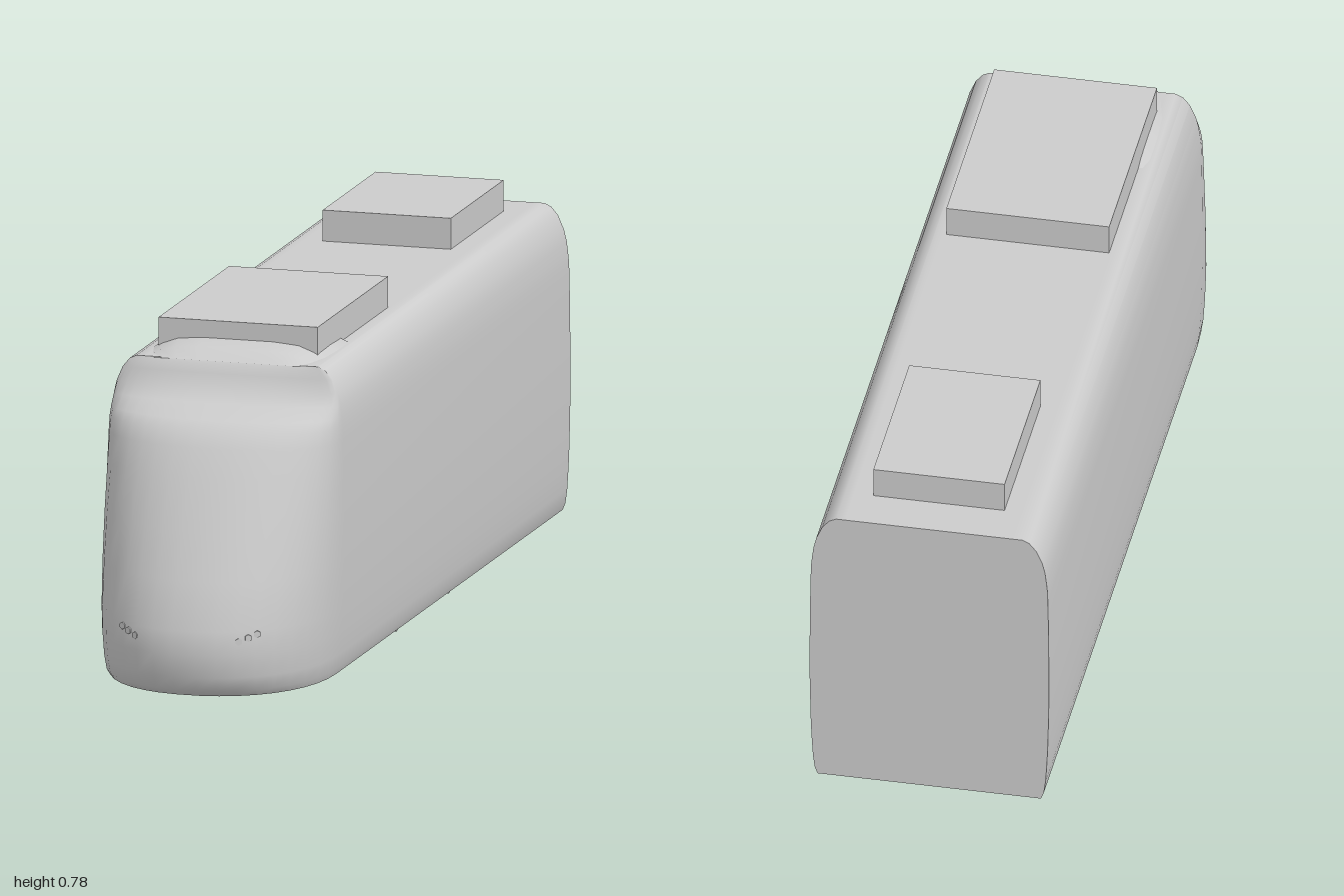
import * as THREE from 'three';
import { toCreasedNormals } from 'three/addons/utils/BufferGeometryUtils.js';

const grey = new THREE.MeshStandardMaterial({ color: 0xcccccc });
grey.name = 'light grey';

// Collects quads and turns them into a geometry that is smooth up to the crease angle
function surface(build, crease) {
  const pos = [];
  build((a, b, c, d) => pos.push(...a, ...b, ...c, ...a, ...c, ...d));
  const g = new THREE.BufferGeometry();
  g.setAttribute('position', new THREE.Float32BufferAttribute(pos, 3));
  return toCreasedNormals(g, crease);
}

function mesh(name, geometry) {
  const m = new THREE.Mesh(geometry, grey);
  m.name = name;
  return m;
}

const BACK = -1, NOSE = 0.67, ROOF = 0.715;

// Body levels: height, half width, nose reach
const levels = [
  [0.055, 0.24, 0.96], [0.07, 0.246, 0.98], [0.1, 0.25, 0.992], [0.15, 0.253, 1],
  [0.2, 0.255, 0.995], [0.3, 0.257, 0.955], [0.4, 0.257, 0.912], [0.5, 0.256, 0.862],
  [0.56, 0.255, 0.83], [0.59, 0.254, 0.81], [0.61, 0.252, 0.785], [0.635, 0.249, 0.73],
  [0.66, 0.243, 0.7], [0.69, 0.23, 0.685], [0.708, 0.215, 0.677], [ROOF, 0.2, NOSE],
];
const ARC = 19, POW = 0.92;

// Horizontal outline at one level, from the back right around the nose to the back left
function outline([y, w, tip]) {
  const pts = [[-w, y, BACK]];
  for (let k = 0; k <= ARC; k++) {
    const t = -Math.PI / 2 + (Math.PI * k) / ARC;
    const s = Math.sin(t), c = Math.max(0, Math.cos(t));
    pts.push([w * Math.sign(s) * Math.abs(s) ** POW, y, NOSE + (tip - NOSE) * c ** POW]);
  }
  pts.push([w, y, BACK]);
  return pts;
}

function bodyGeometry() {
  const rows = levels.map(outline), n = ARC + 2;
  return surface((quad) => {
    for (let i = 0; i < rows.length - 1; i++) {
      const p = rows[i], q = rows[i + 1];
      for (let j = 0; j < n; j++) quad(p[j], p[j + 1], q[j + 1], q[j]);
      quad(p[n], p[0], q[0], q[n]); // back wall
    }
    // floor
    const f = rows[0];
    for (let j = 0; j < (n - 1) / 2; j++) quad(f[j], f[n - j], f[n - j - 1], f[j + 1]);
    // roof, with narrow edge strips so the middle stays flat
    const xs = [-0.2, -0.18, 0.18, 0.2];
    for (let j = 0; j < 3; j++) {
      const a = xs[j], b = xs[j + 1];
      quad([a, ROOF, BACK], [a, ROOF, NOSE], [b, ROOF, NOSE], [b, ROOF, BACK]);
    }
  }, 0.75);
}

// Low domed fairing on the roof behind the nose
function fairingGeometry() {
  const stations = [ // z, half width, height
    [0.385, 0.185, 0], [0.42, 0.195, 0.022], [0.5, 0.195, 0.028],
    [0.58, 0.19, 0.032], [0.64, 0.175, 0.022], [0.675, 0.16, 0],
  ];
  const half = [[1, 0], [0.88, 0.45], [0.7, 0.85], [0.4, 1]];
  const dome = [...half.map(([x, y]) => [-x, y]), ...half.reverse()];
  const rows = stations.map(([z, w, h]) => dome.map(([x, y]) => [x * w, ROOF - 0.001 + y * h, z]));
  return surface((quad) => {
    for (let i = 0; i < rows.length - 1; i++) {
      for (let j = 0; j < dome.length - 1; j++) {
        quad(rows[i][j], rows[i + 1][j], rows[i + 1][j + 1], rows[i][j + 1]);
      }
    }
  }, 0.9);
}

function roofBox(name, x0, x1, z0, z1) {
  const top = 0.782, bottom = ROOF - 0.005;
  const m = mesh(name, new THREE.BoxGeometry(x1 - x0, top - bottom, z1 - z0));
  m.position.set((x0 + x1) / 2, (top + bottom) / 2, (z0 + z1) / 2);
  return m;
}

export function createModel() {
  const model = new THREE.Group();
  model.name = 'railCar';
  model.add(mesh('body', bodyGeometry()));
  model.add(mesh('roofFairing', fairingGeometry()));
  model.add(roofBox('frontRoofUnit', -0.175, 0.175, 0.07, 0.59));
  model.add(roofBox('rearRoofUnit', -0.142, 0.14, -0.9, -0.51));

  // Wheels showing below the floor
  const wheel = new THREE.CylinderGeometry(0.06, 0.06, 0.021, 8).rotateZ(Math.PI / 2);
  // Small six-sided lamps set into the nose
  const lamp = new THREE.CylinderGeometry(0.008, 0.008, 0.008, 6).rotateX(Math.PI / 2);
  for (const side of [-1, 1]) {
    for (const z of [0, -0.385]) {
      const w = mesh('wheel', wheel);
      w.position.set(side * 0.1625, 0.06, z);
      model.add(w);
    }
    for (const [x, y] of [[0.113, 0.179], [0.131, 0.186], [0.147, 0.193]]) {
      const l = mesh('headlamp', lamp);
      const f = (1 - (x / 0.255) ** (2 / POW)) ** (POW / 2);
      l.position.set(side * x, y, NOSE + 0.326 * f - 0.002);
      l.rotation.y = side * 0.5;
      model.add(l);
    }
  }
  return model;
}
